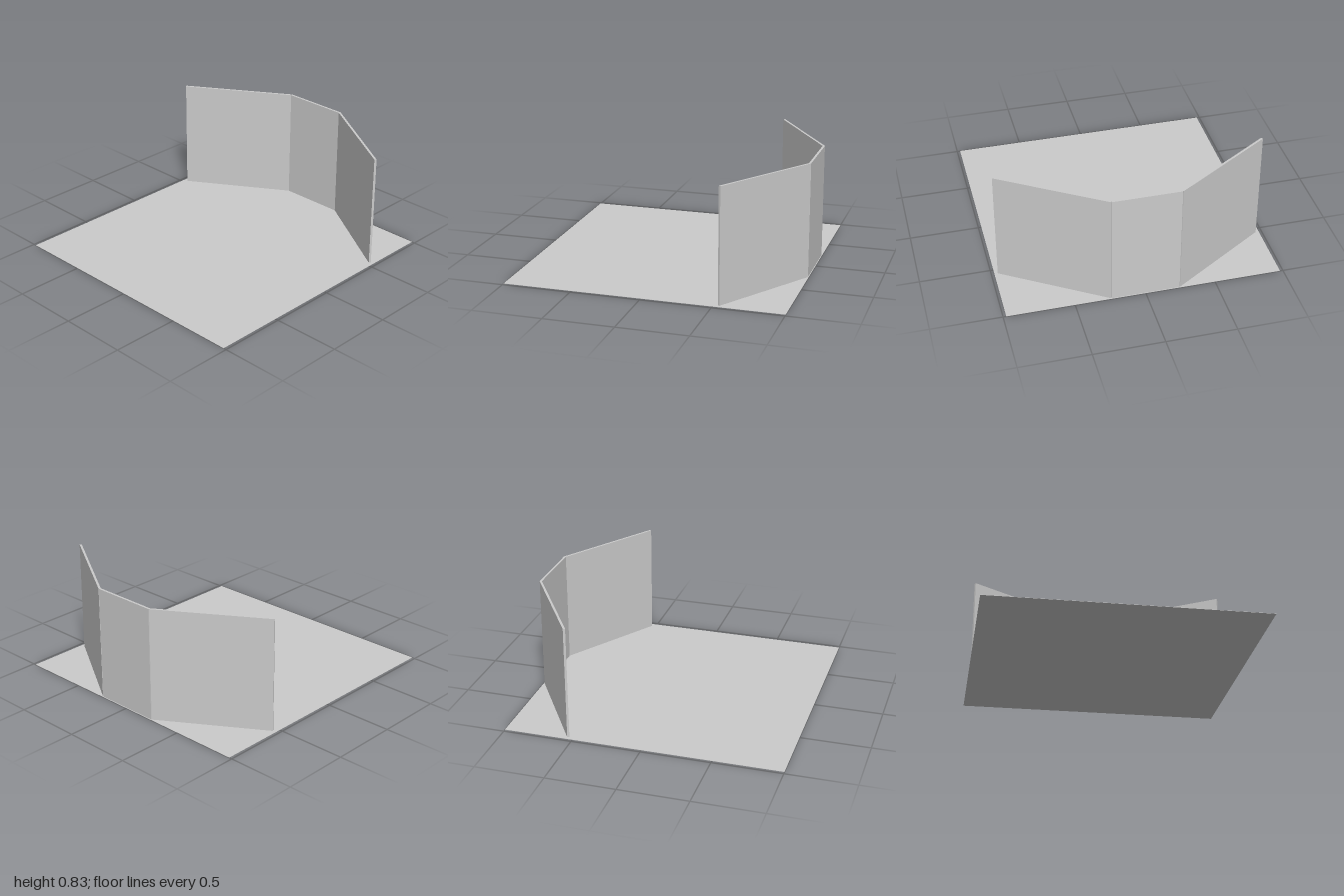
import * as THREE from 'three';

const WALL_HEIGHT = 0.83;
const WALL_THICKNESS = 0.016;

export function createModel() {
  const group = new THREE.Group();
  const material = new THREE.MeshStandardMaterial({ color: 0xcccccc, flatShading: true });

  // Thin floor sheet
  const floor = new THREE.Mesh(new THREE.BoxGeometry(1.956, 0.002, 2), material);
  floor.name = 'floor';
  floor.position.y = 0.001;
  group.add(floor);

  // Upright wall panel whose centre line runs from (x1, z1) to (x2, z2)
  function addPanel(name, x1, z1, x2, z2) {
    const length = Math.hypot(x2 - x1, z2 - z1);
    const panel = new THREE.Mesh(new THREE.BoxGeometry(length, WALL_HEIGHT, WALL_THICKNESS), material);
    panel.name = name;
    panel.position.set((x1 + x2) / 2, WALL_HEIGHT / 2, (z1 + z2) / 2);
    panel.rotation.y = Math.atan2(z1 - z2, x2 - x1);
    group.add(panel);
  }

  // Straight back panel with a wing angled forward on each side
  addPanel('backPanel', -0.243, -0.987, 0.243, -0.987);
  addPanel('leftWing', 0.243, -0.987, 0.95, -0.538);
  addPanel('rightWing', -0.95, -0.538, -0.243, -0.987);

  return group;
}
